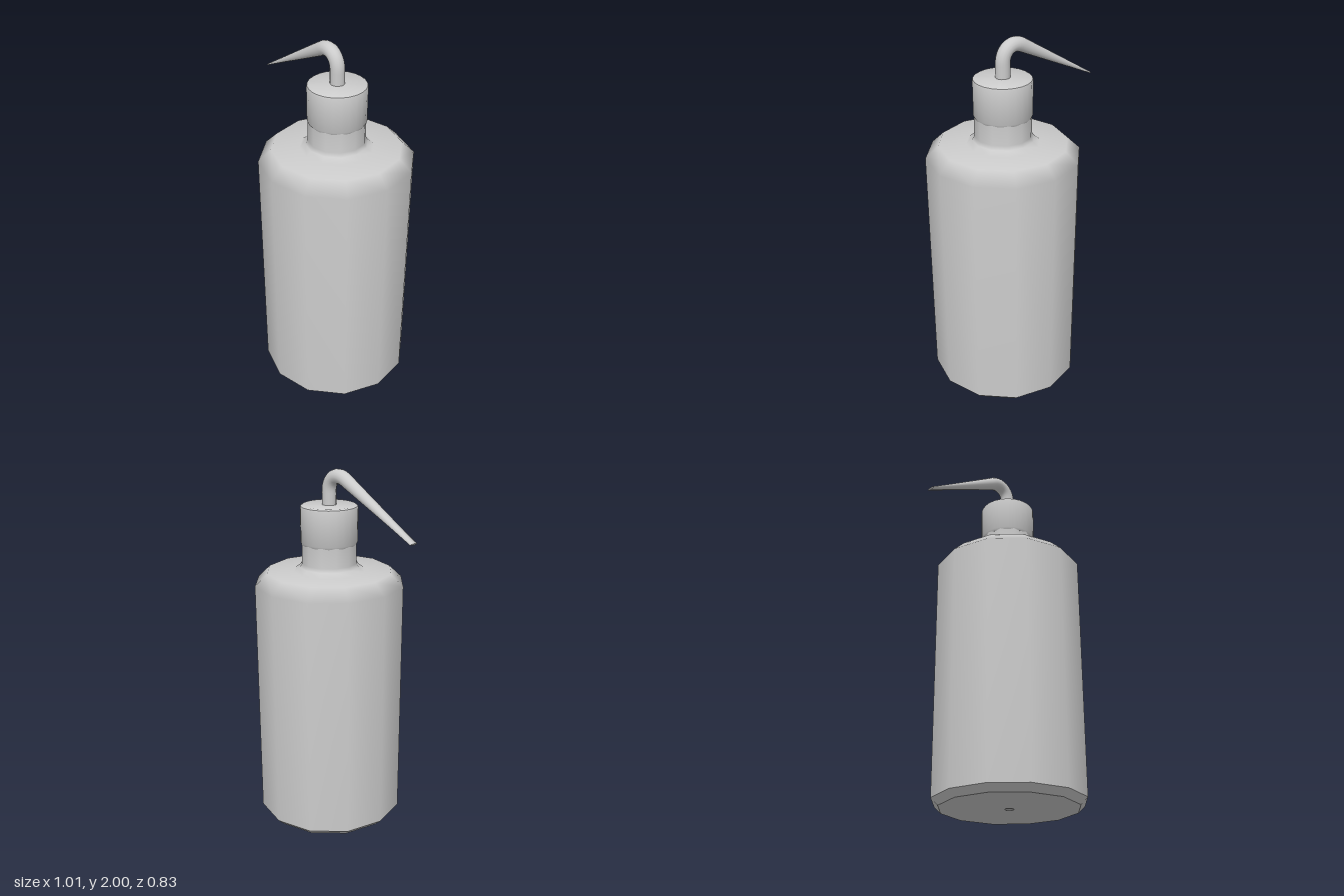
import * as THREE from 'three';
import { toCreasedNormals } from 'three/addons/utils/BufferGeometryUtils.js';

const AXIS = 0.093; // x of the bottle's axis

export function createModel() {
  const group = new THREE.Group();
  const material = new THREE.MeshStandardMaterial({ color: 0xcccccc, side: THREE.DoubleSide });

  function add(name, geometry, x = AXIS) {
    const mesh = new THREE.Mesh(geometry, material);
    mesh.name = name;
    mesh.position.x = x;
    group.add(mesh);
    return mesh;
  }
  const lathe = (points, sides) =>
    new THREE.LatheGeometry(points.map(([r, y]) => new THREE.Vector2(r, y)), sides);

  // Twelve-sided body with soft shoulder and flared neck
  add('body', lathe([
    [0.413, 0.04], [0.413, 1.385], [0.345, 1.45], [0.195, 1.452],
    [0.165, 1.475], [0.152, 1.495], [0.152, 1.61],
  ], 12));

  // Bevelled base with a small moulding mark in the middle
  add('base', toCreasedNormals(lathe([
    [0, 0.008], [0.02, 0.008], [0.024, 0.002], [0.375, 0.003], [0.413, 0.04],
  ], 12), 0.6));

  // Screw cap
  add('cap', toCreasedNormals(lathe([
    [0, 1.597], [0.148, 1.597], [0.155, 1.61], [0.156, 1.795],
    [0.153, 1.804], [0.143, 1.81], [0, 1.81],
  ], 24), 0.6));

  // Spout path: upright, a rounded bend, then a straight run to the tip
  const v = (x, y) => new THREE.Vector3(x, y, 0);
  const tip = v(-0.504, 1.697);
  const bendEnd = v(-0.035, 1.951);
  const path = new THREE.CurvePath();
  path.add(new THREE.LineCurve3(v(AXIS, 1.79), v(AXIS, 1.88)));
  path.add(new THREE.CubicBezierCurve3(v(AXIS, 1.88), v(AXIS, 1.955), v(0.03, 1.987), bendEnd));
  path.add(new THREE.LineCurve3(bendEnd, tip));

  // Sweep a unit tube, then taper it: strongly in height, slightly in width
  const steps = 48, sides = 16;
  const spout = new THREE.TubeGeometry(path, steps, 1, sides, false);
  const pos = spout.attributes.position;
  const taperStart = 0.3;
  for (let i = 0; i <= steps; i++) {
    const centre = path.getPointAt(i / steps);
    const t = Math.max(0, (i / steps - taperStart) / (1 - taperStart));
    const height = THREE.MathUtils.lerp(0.039, 0.005, t);
    const width = THREE.MathUtils.lerp(0.038, 0.026, t);
    for (let j = 0; j <= sides; j++) {
      const k = i * (sides + 1) + j;
      pos.setXYZ(k,
        centre.x + (pos.getX(k) - centre.x) * height,
        centre.y + (pos.getY(k) - centre.y) * height,
        pos.getZ(k) * width);
    }
  }
  add('spout', spout, 0);

  // Flattened end of the spout
  const end = add('spoutTip', new THREE.CircleGeometry(1, sides), tip.x);
  end.position.y = tip.y;
  end.scale.set(0.026, 0.005, 1);
  end.rotation.set(0, -Math.PI / 2, Math.atan2(bendEnd.y - tip.y, bendEnd.x - tip.x), 'ZYX');

  return group;
}
